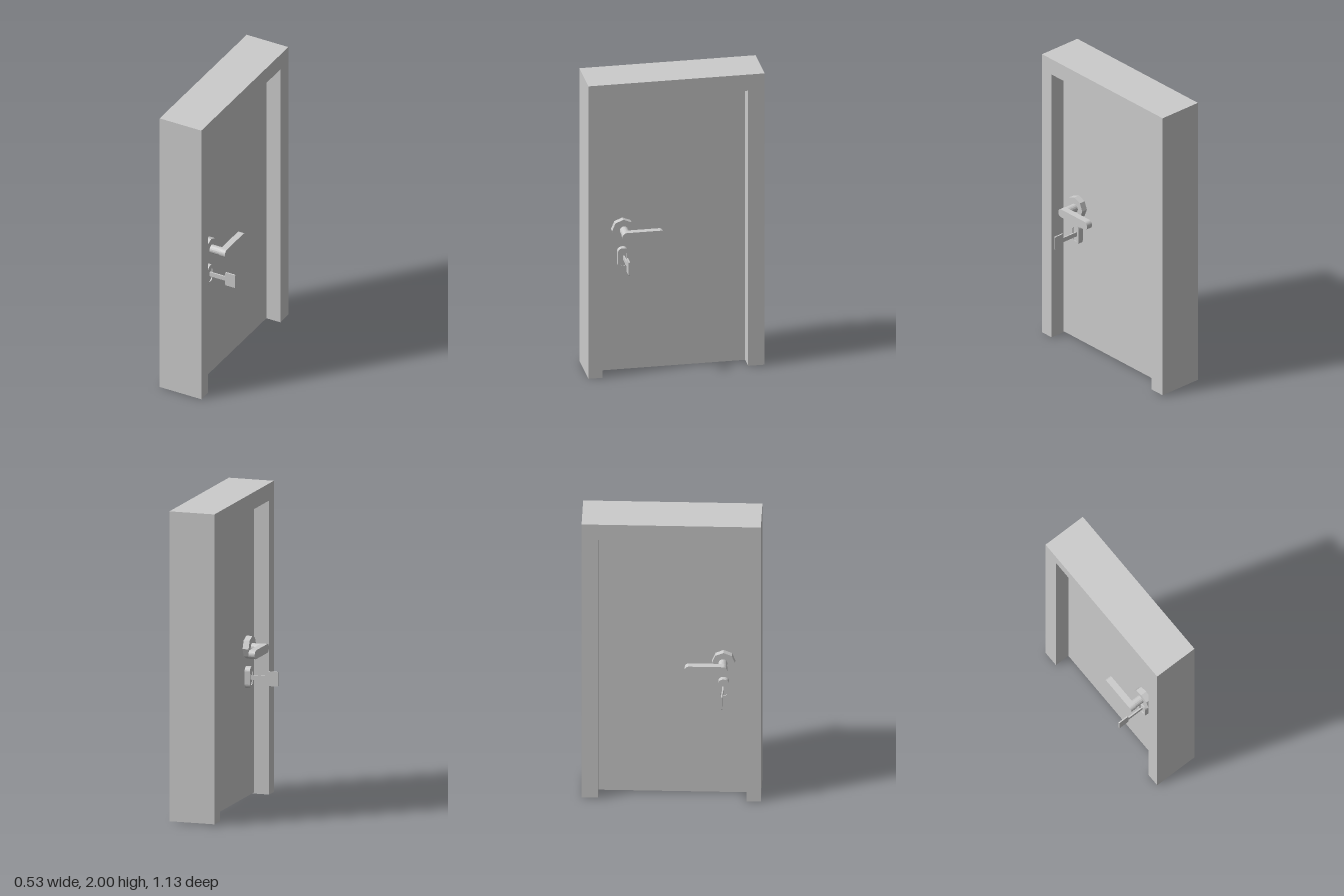
import * as THREE from 'three';

const material = new THREE.MeshStandardMaterial({ color: 0xcccccc, flatShading: true });

function addMesh(parent, name, geometry, x = 0, y = 0, z = 0) {
  const mesh = new THREE.Mesh(geometry, material);
  mesh.name = name;
  mesh.position.set(x, y, z);
  parent.add(mesh);
  return mesh;
}

// Extrudes a shape (drawn as -z, y) along x, centred on x = 0
function extrudeX(shape, depth, curveSegments = 4) {
  const g = new THREE.ExtrudeGeometry(shape, { depth, bevelEnabled: false, curveSegments });
  return g.translate(0, 0, -depth / 2).rotateY(Math.PI / 2);
}

// Rounded slot outline centred on the origin
function slotShape(w, h, r) {
  const s = new THREE.Shape();
  const a = w / 2 - r, b = h / 2 - r, q = Math.PI / 2;
  s.absarc(a, b, r, 0, q);
  s.absarc(-a, b, r, q, 2 * q);
  s.absarc(-a, -b, r, 2 * q, 3 * q);
  s.absarc(a, -b, r, 3 * q, 4 * q);
  return s;
}

// Cylinder lying along x
function cylinderX(radius, length, sides) {
  return new THREE.CylinderGeometry(radius, radius, length, sides).rotateZ(Math.PI / 2);
}

// Handle, lock plate and key for one face of the door
function addHardware(parent, side) {
  const face = 0.05;
  const z = 0.328;
  const leverOut = side > 0 ? 0.203 : 0.191;

  const handle = new THREE.Group();
  handle.name = side > 0 ? 'leftHandle' : 'rightHandle';
  parent.add(handle);
  addMesh(handle, 'rosette', cylinderX(0.073, 0.04, 8), side * (face + 0.02), 0.971, z);
  const neckLength = leverOut - 0.02 - face;
  addMesh(handle, 'neck', cylinderX(0.028, neckLength, 16), side * (face + neckLength / 2), 0.971, z - 0.004);
  addMesh(handle, 'lever', extrudeX(slotShape(0.27, 0.057, 0.028), 0.042), side * (leverOut - 0.021), 0.971, 0.22);

  const lock = new THREE.Group();
  lock.name = side > 0 ? 'leftLock' : 'rightLock';
  parent.add(lock);
  // Plate with a shallow slot around the lock cylinder
  const plate = slotShape(0.069, 0.138, 0.03);
  plate.holes.push(slotShape(0.046, 0.1, 0.022));
  addMesh(lock, 'lockPlate', extrudeX(plate, 0.035, 3), side * (face + 0.0175), 0.778, z);
  addMesh(lock, 'lockCylinder', extrudeX(slotShape(0.046, 0.1, 0.022), 0.028, 3), side * (face + 0.014), 0.778, z);

  const keyOut = side > 0 ? 0.262 : 0.265;
  addMesh(lock, 'keyShaft', new THREE.BoxGeometry(0.15, 0.03, 0.009), side * (face + 0.075), 0.779, 0.323);
  addMesh(lock, 'keyHead', extrudeHead(), side * (keyOut - 0.036), 0.778, 0.323);
}

// Thin key grip with softened corners
function extrudeHead() {
  const g = new THREE.ExtrudeGeometry(slotShape(0.072, 0.094, 0.006), { depth: 0.009, bevelEnabled: false, curveSegments: 1 });
  return g.translate(0, 0, -0.0045);
}

export function createModel() {
  const model = new THREE.Group();
  model.name = 'door';

  // Frame: two jambs and a lintel in one outline
  const outline = new THREE.Shape([
    [-0.565, 0], [-0.475, 0], [-0.475, 1.89], [0.46, 1.89],
    [0.46, 0.008], [0.565, 0.008], [0.565, 2], [-0.565, 2],
  ].map(([x, y]) => new THREE.Vector2(x, y)));
  addMesh(model, 'frame', extrudeX(outline, 0.3));

  // Door leaf, recessed on both faces
  addMesh(model, 'doorLeaf', new THREE.BoxGeometry(0.1, 1.882, 0.935), 0, 0.949, 0.0075);

  for (const side of [1, -1]) addHardware(model, side);
  return model;
}
